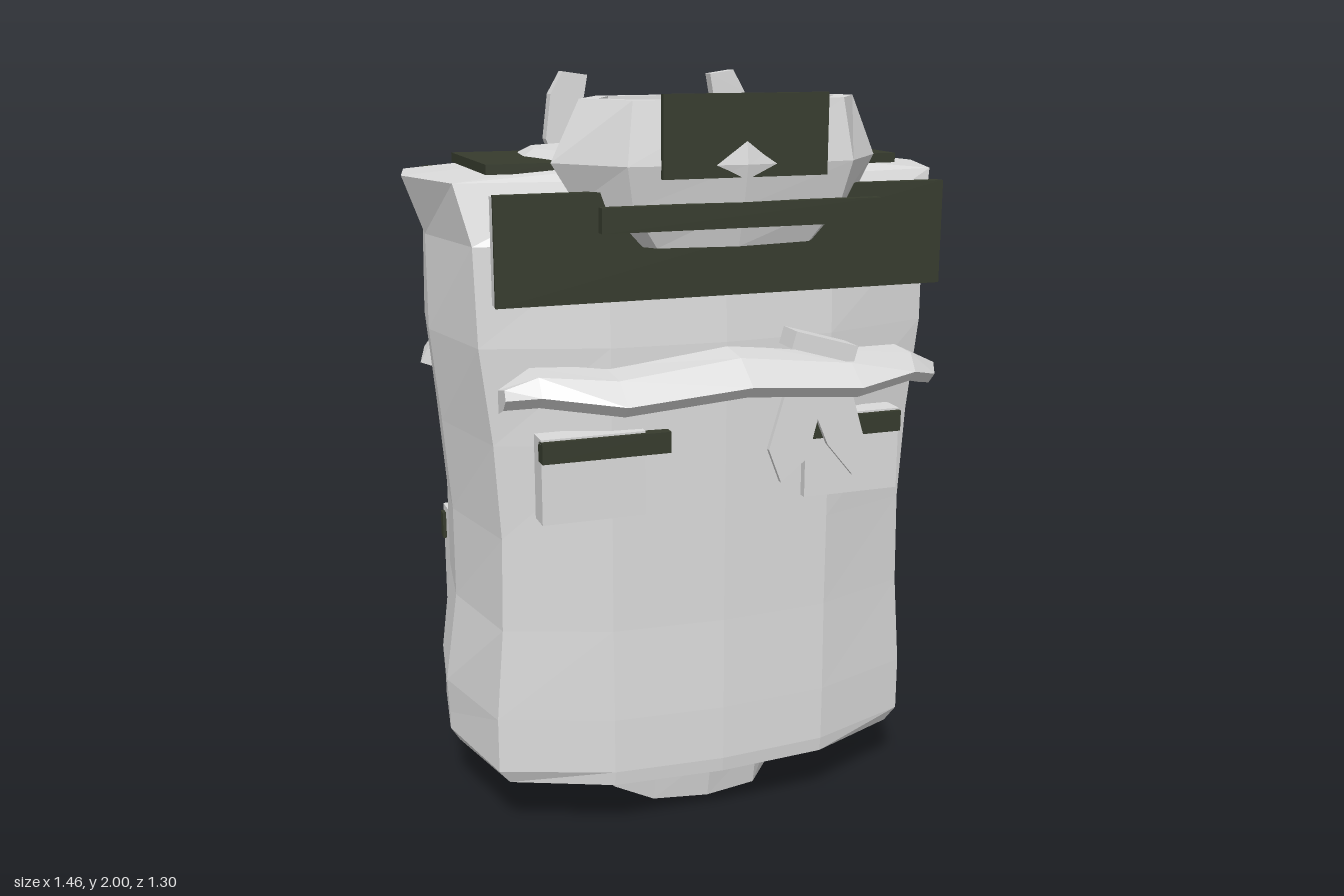
import * as THREE from 'three';

const mat = (name, color) => Object.assign(
  new THREE.MeshStandardMaterial({ color, flatShading: true }), { name });

export function createModel() {
  const root = new THREE.Group();
  root.name = 'paddedVest';
  const light = mat('light grey', 0xdadada);
  const green = mat('dark olive', 0x363b2d);
  const brown = mat('brown', 0x785638);
  const black = mat('near black', 0x202020);

  const add = (name, geo, material, parent = root) => {
    const m = new THREE.Mesh(geo, material);
    m.name = name;
    parent.add(m);
    return m;
  };
  // Box from its extents on each axis
  const box = (name, material, x0, x1, y0, y1, z0, z1) => {
    const m = add(name, new THREE.BoxGeometry(x1 - x0, y1 - y0, z1 - z0), material);
    m.position.set((x0 + x1) / 2, (y0 + y1) / 2, (z0 + z1) / 2);
    return m;
  };
  const pair = (name, material, x0, x1, ...rest) => {
    box(name + 'Left', material, x0, x1, ...rest);
    box(name + 'Right', material, -x1, -x0, ...rest);
  };
  // Closed skin through rings of points, capped at both ends
  const loft = (rings) => {
    const n = rings[0].length, idx = [];
    const mid = (r) => [0, 1, 2].map((k) => r.reduce((s, p) => s + p[k], 0) / n);
    const pts = [...rings.flat(), mid(rings[0]), mid(rings[rings.length - 1])];
    const a = rings.length * n, top = a - n;
    for (let i = 0; i < n; i++) {
      const j = (i + 1) % n;
      for (let r = 0; r < top; r += n) idx.push(r + i, r + j, r + n + j, r + i, r + n + j, r + n + i);
      idx.push(a, j, i, a + 1, top + i, top + j);
    }
    const g = new THREE.BufferGeometry();
    g.setAttribute('position', new THREE.Float32BufferAttribute(pts.flat(), 3));
    g.setIndex(idx);
    const flat = g.toNonIndexed();
    flat.computeVertexNormals();
    return flat;
  };
  // Mirrored horizontal ring from [x, z] pairs, front centre to back centre
  const ring = (y, half) => [
    ...half.map(([x, z]) => [x, y, z]),
    ...half.slice(1, -1).reverse().map(([x, z]) => [-x, y, z]),
  ];

  // Torso: height, half width, front-corner x, front z, front-corner z, back-corner z, back z
  const levels = [
    [0.16, 0.635, 0.56, 0.47, 0.34, -0.18, -0.31],
    [0.2, 0.66, 0.59, 0.475, 0.35, -0.19, -0.32],
    [0.25, 0.66, 0.59, 0.475, 0.35, -0.19, -0.32],
    [0.35, 0.665, 0.59, 0.475, 0.35, -0.19, -0.32],
    [0.6, 0.63, 0.57, 0.47, 0.35, -0.2, -0.32],
    [0.85, 0.63, 0.565, 0.47, 0.35, -0.2, -0.33],
    [1.1, 0.65, 0.58, 0.47, 0.35, -0.21, -0.33],
    [1.35, 0.675, 0.61, 0.47, 0.35, -0.21, -0.33],
    [1.6, 0.675, 0.615, 0.455, 0.34, -0.18, -0.33],
    [1.75, 0.73, 0.65, 0.38, 0.3, -0.15, -0.31],
  ].map(([y, w, e, f, fz, bz, b]) => ring(y, [
    [0, f], [0.3, f - 0.02], [e, fz], [w, 0.05], [w * 0.945, bz], [0.48, b + 0.03], [0, b]]));
  levels.push(ring(1.775, [[0, 0.32], [0.26, 0.31], [0.38, 0.25], [0.43, 0.05], [0.41, -0.12], [0.3, -0.24], [0, -0.27]]));
  levels.push(ring(1.81, [[0, 0.25], [0.24, 0.24], [0.34, 0.19], [0.38, 0.05], [0.36, -0.06], [0.25, -0.12], [0, -0.14]]));
  add('torso', loft(levels), light);

  // Tapered base with small tabs
  const base = (y, s) => ring(y, [[0, 0.08 + 0.3 * s], [0.15, 0.08 + 0.27 * s], [0.25 * s, 0.08 + 0.16 * s],
    [0.28 * s, 0.08], [0.25 * s, 0.08 - 0.17 * s], [0.15, 0.08 - 0.27 * s], [0, 0.08 - 0.3 * s]]);
  add('base', loft([base(0.03, 0.93), base(0.17, 1.03)]), light);
  pair('baseTabFront', green, 0.255, 0.285, 0.12, 0.16, 0.16, 0.26);
  pair('baseTabBack', green, 0.255, 0.285, 0.125, 0.16, -0.1, 0.02);
  pair('baseFoot', brown, 0.015, 0.065, 0.005, 0.035, 0.1, 0.19);

  // Hollow collar: outer skin up, then inner skin down
  const collar = (y, w, x, f, b) => ring(y, [[0, f], [x, f - 0.03], [w, (f + b) / 2], [x, b + 0.01], [0, b]]);
  add('collar', loft([
    collar(1.6, 0.25, 0.2, 0.54, 0.34),
    collar(1.7, 0.37, 0.27, 0.57, 0.24),
    collar(1.8, 0.43, 0.29, 0.592, 0.2),
    collar(1.95, 0.36, 0.27, 0.57, 0.24),
    collar(1.95, 0.31, 0.25, 0.53, 0.275),
    collar(1.73, 0.31, 0.25, 0.51, 0.29),
  ]), light);
  box('collarPlate', green, -0.21, 0.21, 1.77, 1.965, 0.566, 0.584);
  box('collarBand', green, -0.36, 0.36, 1.65, 1.71, 0.555, 0.582);

  // Shoulder pads, upright fins and rear stick
  pair('shoulderPad', green, 0.37, 0.56, 1.765, 1.79, -0.14, 0.27);
  const fin = new THREE.Shape([[0.16, 1.74], [0.27, 1.74], [0.3, 1.82], [0.285, 1.94], [0.25, 2], [0.18, 1.99], [0.2, 1.88]]
    .map((p) => new THREE.Vector2(...p)));
  for (const s of [1, -1]) {
    const g = new THREE.ExtrudeGeometry(fin, { depth: 0.038, bevelEnabled: false });
    g.translate(0, 0, -0.163);
    const m = add(s > 0 ? 'finLeft' : 'finRight', g, light);
    m.scale.x = s;
  }
  const stick = box('rearStick', black, -0.012, 0.012, 1.75, 1.92, -0.21, -0.19);
  stick.rotation.x = 0.35;

  // Chest panel and pockets
  box('chestPanel', light, -0.588, 0.588, 1.47, 1.73, 0.42, 0.468);
  box('chestPanelFace', green, -0.592, 0.592, 1.47, 1.735, 0.466, 0.475);
  box('chestPanelTop', green, -0.588, 0.588, 1.73, 1.735, 0.445, 0.475);
  pair('chestPocket', light, 0.22, 0.49, 0.92, 1.14, 0.41, 0.478);
  pair('chestPocketFlap', green, 0.155, 0.49, 1.08, 1.135, 0.45, 0.49);

  // Draped cloth: x, lip z, top y, lip y, stacked along x
  const drape = (rows, inner, thick) => loft(rows.map(([x, z, y, ly]) => [
    [x, y, inner], [x, (y + ly) / 2 + 0.02, (inner + z) / 2 + 0.03], [x, ly, z], [x, ly - thick, z - 0.03], [x, y - thick * 2, inner]]));
  add('chestDrape', drape([[-0.58, 0.5, 1.26, 1.25], [-0.5, 0.54, 1.31, 1.26], [-0.31, 0.62, 1.3, 1.24], [0, 0.645, 1.345, 1.27],
    [0.31, 0.62, 1.3, 1.24], [0.5, 0.54, 1.3, 1.25], [0.58, 0.5, 1.25, 1.23]], 0.42, 0.03), light);
  add('backDrape', drape([[-0.43, 0.46, 1.24, 1.23], [-0.37, 0.5, 1.3, 1.29], [-0.28, 0.6, 1.335, 1.33], [0, 0.655, 1.34, 1.335],
    [0.28, 0.6, 1.335, 1.33], [0.37, 0.5, 1.3, 1.29], [0.43, 0.46, 1.24, 1.23]], 0.38, 0.022), light).rotation.y = Math.PI;

  // Hanging cloth tails below the drape knot
  const tails = new THREE.Shape([[0.15, 1.24], [0.32, 1.24], [0.375, 1.06], [0.34, 0.98], [0.265, 1.07], [0.235, 1.14],
    [0.21, 1.04], [0.135, 0.98], [0.1, 1.07]].map((p) => new THREE.Vector2(...p)));
  const tailGeo = new THREE.ExtrudeGeometry(tails, { depth: 0.014, bevelEnabled: false });
  tailGeo.translate(0, 0, 0.503);
  add('clothTails', tailGeo, light);
  const knot = box('drapeKnot', light, 0.15, 0.33, 1.31, 1.355, 0.46, 0.54);
  knot.rotation.z = -0.28;
  for (const s of [1, -1]) {
    const k = add('sideKnot', new THREE.ConeGeometry(0.07, 0.14, 5), light);
    k.position.set(s * 0.575, 1.26, -0.28);
    k.rotation.x = 0.4;
  }

  // Upper back: plate, strap, pouches
  box('backPlate', green, -0.605, 0.605, 1.35, 1.74, -0.345, -0.312);
  box('backPlateStrap', green, -0.05, 0.05, 1.38, 1.71, -0.385, -0.345);
  pair('upperPouch', light, 0.17, 0.54, 1.1, 1.5, -0.43, -0.33);
  pair('upperPouchFlap', green, 0.17, 0.52, 1.39, 1.49, -0.455, -0.43);
  pair('upperPouchStrap', green, 0.54, 0.55, 1.22, 1.45, -0.41, -0.37);
  for (const s of [1, -1]) {
    const lid = box('pouchLid', light, s * 0.34 - 0.17, s * 0.34 + 0.17, 1.495, 1.51, -0.43, -0.34);
    lid.rotation.z = s * 0.06;
  }
  box('middlePouch', light, -0.4, 0.4, 0.95, 1.27, -0.445, -0.32);
  box('middlePouchFlap', green, -0.4, 0.4, 1.16, 1.24, -0.458, -0.43);
  box('middlePouchStrap', green, -0.035, 0.035, 1.02, 1.16, -0.458, -0.44);

  // Bundle strapped to the pack
  const lump = (y, w, d) => ring(y, [[0, -0.34], [w * 0.7, -0.34], [w, -0.42], [w * 0.8, -0.44 - d * 0.6], [w * 0.4, -0.44 - d], [0, -0.44 - d]]);
  add('bundle', loft([lump(0.82, 0.3, 0.14), lump(0.9, 0.29, 0.14), lump(0.94, 0.23, 0.12), lump(1.03, 0.18, 0.07), lump(1.08, 0.11, 0.01)]), brown);
  add('bundleBase', loft([lump(0.71, 0.25, 0.13), lump(0.74, 0.29, 0.16), lump(0.82, 0.3, 0.155)]), black);

  // Lower pack
  box('lowerPack', light, -0.5, 0.5, 0.44, 0.73, -0.445, -0.32);
  box('lowerPackFlap', green, -0.5, 0.5, 0.72, 0.81, -0.45, -0.38);
  box('lowerPackStrap', green, -0.035, 0.035, 0.5, 0.7, -0.456, -0.44);
  pair('lowerPouch', light, 0.2, 0.57, 0.26, 0.72, -0.405, -0.29);
  pair('lowerPouchStrap', green, 0.37, 0.4, 0.32, 0.44, -0.415, -0.4);
  pair('lowerPouchSideStrap', green, 0.565, 0.58, 0.62, 0.7, -0.4, -0.37);
  pair('packSideStrap', green, 0.495, 0.51, 0.5, 0.6, -0.435, -0.4);
  box('centreStrap', green, -0.05, 0.05, 0.24, 0.46, -0.4, -0.3);

  // Side details: rods, clip and vents
  for (const s of [1, -1]) {
    const rod = box('sideRod', light, s * 0.575 - 0.01, s * 0.575 + 0.01, 0.51, 0.76, -0.25, -0.23);
    rod.rotation.x = 0.15;
    box('sideClip', black, s * 0.53 - 0.03, s * 0.53 + 0.03, 0.715, 0.755, -0.34, -0.3);
    for (const y of [0.24, 0.285, 0.37])
      box('sideVent', black, s * 0.55 - 0.018, s * 0.55 + 0.018, y - 0.006, y + 0.006, -0.272, -0.25);
  }
  return root;
}
